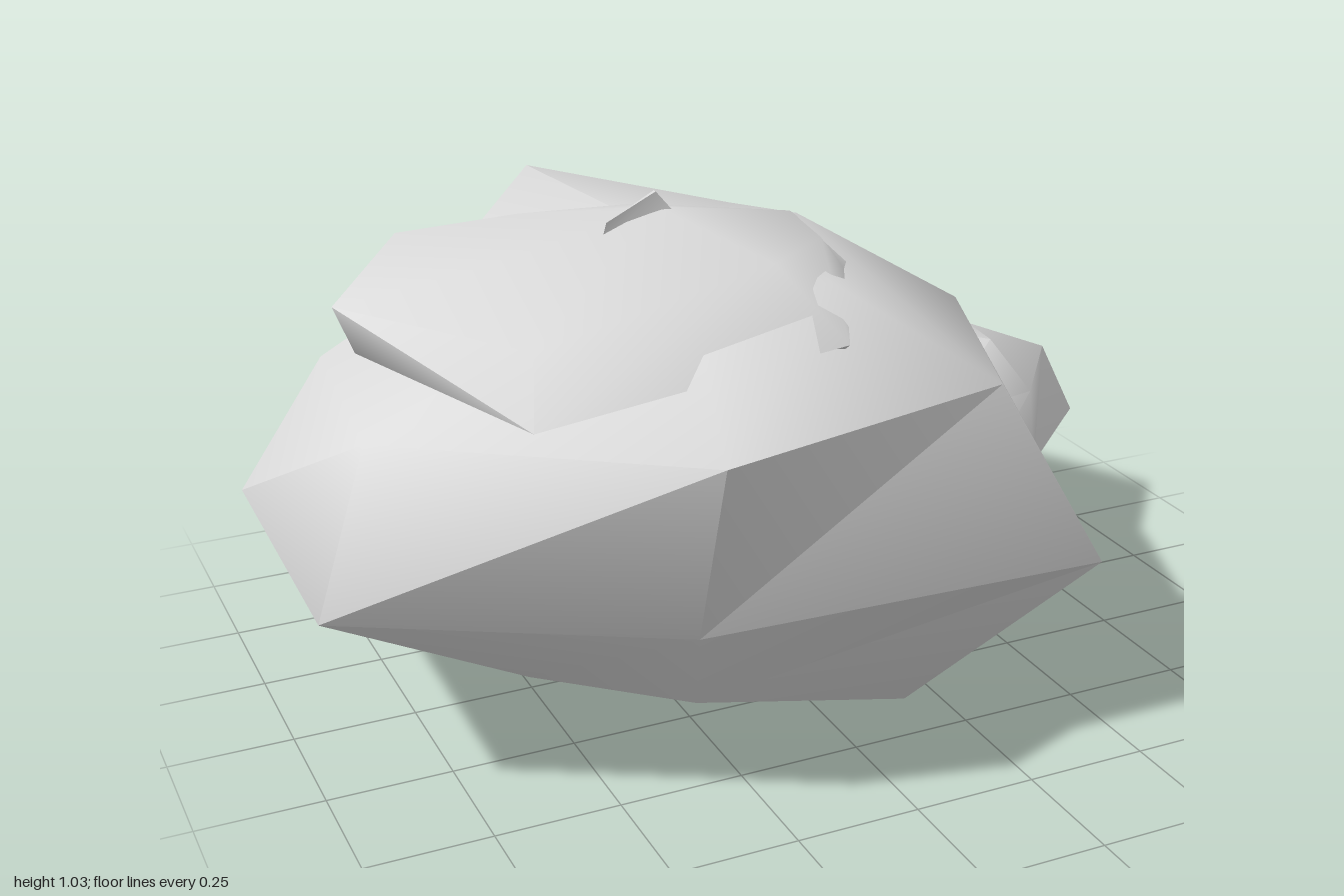
import * as THREE from 'three';
import { toCreasedNormals, mergeGeometries } from 'three/addons/utils/BufferGeometryUtils.js';

function creased(points, angle) {
  const geometry = new THREE.BufferGeometry();
  geometry.setAttribute('position', new THREE.Float32BufferAttribute(points.flat(), 3));
  geometry.computeVertexNormals();
  return toCreasedNormals(geometry, angle);
}

// Each column runs from the underside to the crown; columns go counter-clockwise seen from above.
// The underside is shaded apart from the flanks, so its rim stays sharp.
function rock(name, columns, base, crown, material, crease) {
  const flanks = [], underside = [];
  const n = columns.length, last = columns[0].length - 1;
  for (let i = 0; i < n; i++) {
    const p = columns[i], q = columns[(i + 1) % n];
    for (let j = 0; j < last; j++) {
      flanks.push(p[j], q[j], q[j + 1], p[j], q[j + 1], p[j + 1]);
    }
    flanks.push(crown, p[last], q[last]);
    underside.push(base, q[0], p[0]);
  }
  const geometry = mergeGeometries([creased(flanks, crease), creased(underside, crease)]);
  const mesh = new THREE.Mesh(geometry, material);
  mesh.name = name;
  return mesh;
}

export function createModel() {
  const stone = new THREE.MeshStandardMaterial({ color: 0xdcdcdc });
  stone.name = 'pale stone';
  const group = new THREE.Group();
  group.name = 'rockPile';

  // Main boulder: underside, waist, shoulder, crown
  group.add(rock('mainBoulder', [
    [[0.18, 0, 0.37], [0.45, 0.38, 0.65], [0.3, 0.72, 0.5], [0, 0.925, 0.36]],
    [[0.2, 0.13, 0], [0.62, 0.41, 0], [0.51, 0.7, -0.04], [0.12, 0.94, -0.03]],
    [[0.18, 0.01, -0.4], [0.45, 0.4, -0.64], [0.35, 0.74, -0.42], [0.12, 0.875, -0.36]],
    [[-0.25, 0.115, -0.35], [-0.39, 0.4, -0.755], [-0.33, 0.68, -0.6], [-0.31, 0.985, -0.455]],
    [[-0.67, 0.05, -0.21], [-0.99, 0.4, -0.35], [-0.84, 0.72, -0.2], [-0.6, 0.85, -0.2]],
    [[-0.57, 0.14, 0.2], [-1, 0.4, 0.31], [-0.89, 0.725, 0.29], [-0.6, 0.83, 0.2]],
    [[-0.3, 0.12, 0.4], [-0.4, 0.4, 0.65], [-0.39, 0.765, 0.75], [-0.3, 0.89, 0.43]],
  ], [-0.2, 0.12, 0], [-0.2, 0.95, -0.05], stone, 1.15));

  // Small boulder leaning on the back corner
  group.add(rock('smallBoulder', [
    [[0.4, 0.11, -0.1], [0.5, 0.275, 0.08], [0.47, 0.43, -0.02], [0.5, 0.515, -0.15]],
    [[0.62, 0.1, -0.12], [0.72, 0.28, -0.02], [0.74, 0.43, -0.08], [0.69, 0.53, -0.18]],
    [[0.71, 0.145, -0.29], [1, 0.265, -0.3], [0.91, 0.44, -0.3], [0.7, 0.53, -0.3]],
    [[0.64, 0.08, -0.5], [0.73, 0.28, -0.61], [0.74, 0.45, -0.61], [0.62, 0.53, -0.46]],
    [[0.4, 0.12, -0.5], [0.28, 0.27, -0.67], [0.33, 0.46, -0.72], [0.4, 0.53, -0.5]],
    [[0.22, 0.15, -0.3], [0.18, 0.28, -0.35], [0.2, 0.42, -0.35], [0.35, 0.51, -0.3]],
  ], [0.5, 0.12, -0.29], [0.52, 0.55, -0.3], stone, 1));

  // Flat slab sunk into the top, overhanging on one side
  group.add(rock('topSlab', [
    [[-0.1, 0.7, 0.35], [-0.03, 0.85, 0.5], [-0.1, 0.965, 0.33]],
    [[0, 0.75, 0.12], [0.08, 0.91, 0.26], [0.06, 0.96, 0.2]],
    [[0.1, 0.75, 0], [0.2, 0.865, 0.05], [0.1, 0.95, -0.02]],
    [[-0.25, 0.75, -0.3], [-0.2, 0.92, -0.3], [-0.2, 0.975, -0.12]],
    [[-0.55, 0.78, -0.3], [-0.62, 0.89, -0.4], [-0.42, 0.96, -0.2]],
    [[-0.84, 0.82, 0.08], [-0.87, 0.905, 0.05], [-0.6, 0.95, 0.08]],
    [[-0.6, 0.77, 0.4], [-0.67, 0.815, 0.58], [-0.62, 0.91, 0.45]],
  ], [-0.35, 0.75, 0.05], [-0.2, 1, 0], stone, 1.15));

  // Low splinter standing at the summit
  group.add(rock('summitSplinter', [
    [[-0.14, 0.95, 0.04], [-0.2, 1.03, -0.005]],
    [[-0.2, 0.95, -0.06], [-0.2, 1.03, -0.015]],
    [[-0.35, 0.95, 0.07], [-0.33, 1, 0.06]],
  ], [-0.23, 0.94, 0.01], [-0.23, 1.02, 0.01], stone, 0.9));

  return group;
}
